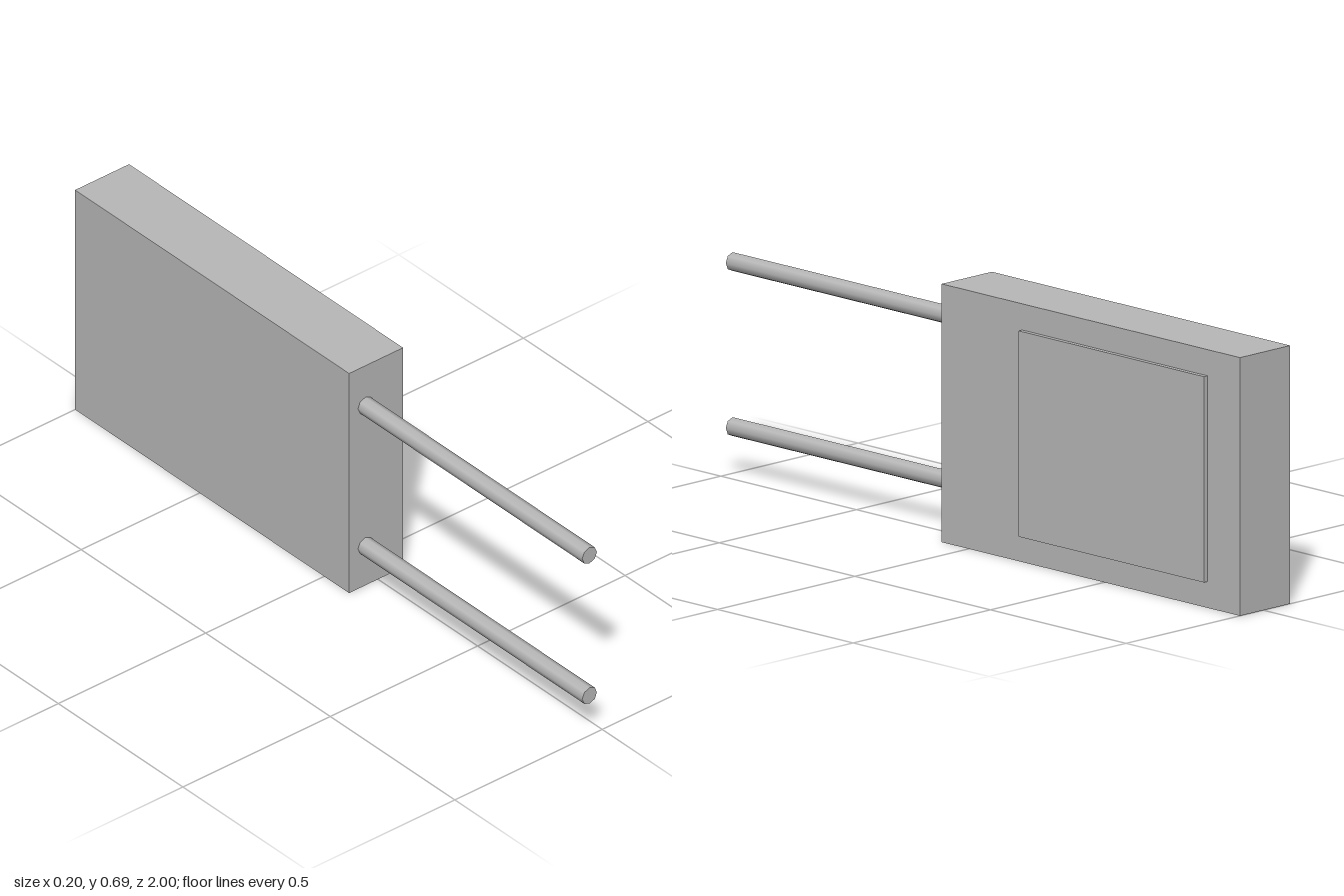
import * as THREE from 'three';

export function createModel() {
  const group = new THREE.Group();
  const grey = new THREE.MeshStandardMaterial({ color: 0xb8b8b8 });
  grey.name = 'grey';

  // Box given by its lower and upper corners
  const addBox = (name, min, max) => {
    const [w, h, d] = max.map((v, i) => v - min[i]);
    const mesh = new THREE.Mesh(new THREE.BoxGeometry(w, h, d), grey);
    mesh.position.set(...max.map((v, i) => (v + min[i]) / 2));
    mesh.name = name;
    group.add(mesh);
  };

  // Flat housing and the raised plate on its left face
  addBox('housing', [-0.098, 0, -1], [0.085, 0.69, 0.1]);
  addBox('raisedPlate', [0.085, 0.07, -0.88], [0.098, 0.62, -0.197]);

  // Two eight-sided pins with smooth sides, running forward
  const pinGeometry = new THREE.CylinderGeometry(0.025, 0.025, 0.9, 8).rotateX(Math.PI / 2);
  for (const [name, y] of [['lowerPin', 0.125], ['upperPin', 0.566]]) {
    const pin = new THREE.Mesh(pinGeometry, grey);
    pin.position.set(-0.043, y, 0.55);
    pin.name = name;
    group.add(pin);
  }

  return group;
}
